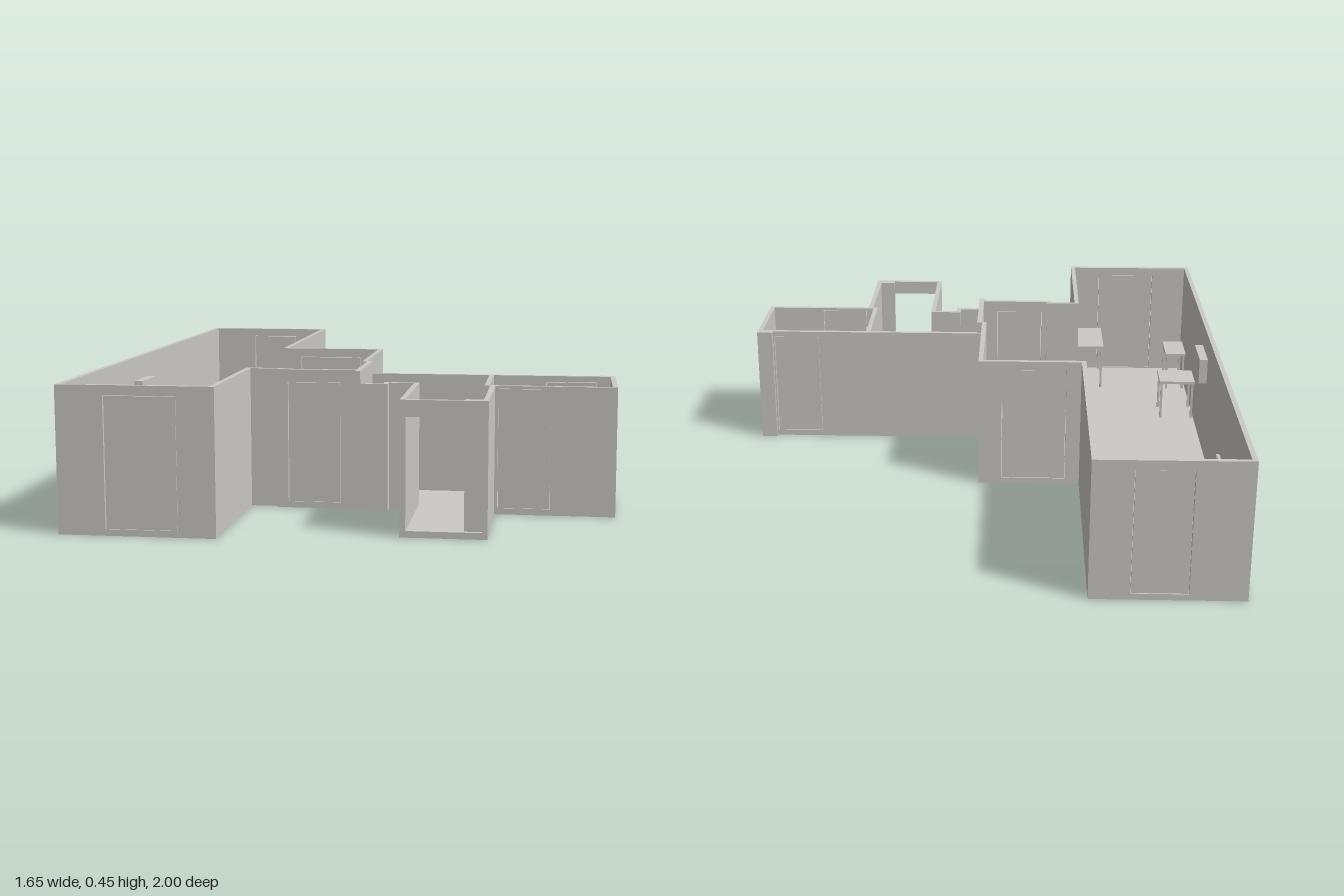
import * as THREE from 'three';

const T = 0.016; // wall thickness
const HIGH = 0.45, LOW = 0.41;

export function createModel() {
  const model = new THREE.Group();
  model.name = 'apartment';
  const plaster = new THREE.MeshStandardMaterial({ color: 0xcccac5 });
  plaster.name = 'plaster grey';

  const add = (geometry, name, parent = model) => {
    const mesh = new THREE.Mesh(geometry, plaster);
    mesh.name = name;
    parent.add(mesh);
    return mesh;
  };
  // Box given by its lower and upper corners
  const box = (name, x0, y0, z0, x1, y1, z1, parent) => add(
    new THREE.BoxGeometry(x1 - x0, y1 - y0, z1 - z0)
      .translate((x0 + x1) / 2, (y0 + y1) / 2, (z0 + z1) / 2), name, parent);

  // Wall along x with openings [x0, x1, top, hasDoor]
  const wallX = (name, x0, x1, z, h, openings = []) => {
    const shape = new THREE.Shape([[x0, 0], [x1, 0], [x1, h], [x0, h]].map(p => new THREE.Vector2(...p)));
    for (const [a, b, top, hasDoor] of openings) {
      shape.holes.push(new THREE.Path([[a, 0.02], [a, top], [b, top], [b, 0.02]].map(p => new THREE.Vector2(...p))));
      if (hasDoor) box('door', a + 0.002, 0.02, z + 0.004, b - 0.002, top - 0.002, z + T - 0.004);
    }
    add(new THREE.ExtrudeGeometry(shape, { depth: T, bevelEnabled: false }).translate(0, 0, z), name);
  };
  // Plain wall along z
  const wallZ = (name, z0, z1, x, h) => box(name, x, 0, z0, x + T, h, z1);

  // Floor following the plan
  const plan = [[-0.825, -1], [-0.35, -1], [-0.35, -0.175], [0, -0.175], [0, 0.24], [0.77, 0.24],
    [0.77, 0.225], [0.825, 0.225], [0.825, 0.545], [0.445, 0.545], [0.445, 0.91], [0.185, 0.91],
    [0.185, 0.508], [0.105, 0.508], [0.105, 0.545], [0.01, 0.545], [0.01, 0.522], [-0.255, 0.522],
    [-0.255, 0.506], [-0.345, 0.506], [-0.345, 1], [-0.825, 1]];
  add(new THREE.ExtrudeGeometry(new THREE.Shape(plan.map(([x, z]) => new THREE.Vector2(x, -z))),
    { depth: 0.015, bevelEnabled: false }).rotateX(-Math.PI / 2), 'floor');

  // Long main room
  wallZ('mainLeftWall', -1, 1, -0.825, HIGH);
  wallX('mainBackWall', -0.825, -0.35, -1, HIGH, [[-0.65, -0.475, 0.42, true]]);
  wallX('mainFrontWall', -0.825, -0.345, 1 - T, HIGH, [[-0.68, -0.46, 0.42, true]]);
  wallZ('mainRightBackWall', -1, -0.16, -0.35 - T, HIGH);
  wallZ('mainRightFrontWall', 0.49, 1, -0.345 - T, HIGH);

  // Wing beside the main room
  wallX('wingBackWall', -0.35, 0, -0.175, HIGH, [[-0.3, -0.08, 0.42, true]]);
  wallZ('wingRightWall', -0.175, 0.256, -T, HIGH);
  wallX('wingStepWall', -0.36, -0.24, 0.49, HIGH);
  wallZ('wingStepReturn', 0.49, 0.522, -0.255, HIGH);
  wallX('wingFrontWall', -0.255, 0.012, 0.506, HIGH, [[-0.22, -0.05, 0.41, true]]);
  box('passageHeader', 0, 0.37, 0.245, 0.018, HIGH, 0.545);
  wallZ('passageJamb', 0.515, 0.545, 0.002, LOW);

  // Hall and side rooms
  wallX('hallBackWall', 0, 0.825, 0.24, LOW, [[0.6, 0.765, 0.39, true]]);
  box('backCornerPier', 0.77, 0, 0.225, 0.825, LOW, 0.256);
  wallZ('sideRoomRightWall', 0.225, 0.545, 0.825 - T, LOW);
  wallX('sideRoomFrontWall', 0.43, 0.825, 0.545 - T, LOW, [[0.455, 0.62, 0.402, true]]);
  wallZ('partitionWall', 0.25, 0.545, 0.411, LOW);
  wallX('hallFrontWall', 0.005, 0.105, 0.545 - T, LOW);
  wallZ('hallStepReturn', 0.492, 0.545, 0.105 - T, LOW);
  wallX('hallStepWall', 0.09, 0.2, 0.492, LOW);
  wallZ('entryLeftWall', 0.492, 0.91, 0.185, LOW);
  wallZ('entryRightWall', 0.53, 0.91, 0.445 - T, LOW);
  wallX('entryFrontWall', 0.185, 0.445, 0.91 - T, LOW, [[0.203, 0.43, 0.36, false]]);
  box('entryPost', 0.375, 0, 0.875, 0.432, LOW, 0.896);

  // Four slim legs at the corners of a rectangle
  const legs = (x0, z0, x1, z1, h, t, parent) => {
    for (const x of [x0, x1 - t]) for (const z of [z0, z1 - t]) {
      box('leg', x, 0.015, z, x + t, h, z + t, parent);
    }
  };

  const table = (x0, z0, x1, z1, h) => {
    const group = new THREE.Group();
    group.name = 'table';
    model.add(group);
    box('tableTop', x0, h - 0.01, z0, x1, h, z1, group);
    legs(x0 + 0.004, z0 + 0.004, x1 - 0.004, z1 - 0.004, h - 0.01, 0.008, group);
  };
  table(-0.808, -0.81, -0.715, -0.665, 0.165);
  table(-0.808, 0.415, -0.675, 0.545, 0.165);
  table(-0.805, 0.735, -0.725, 0.89, 0.165);
  table(-0.475, 0.745, -0.362, 0.983, 0.19);
  table(-0.1, -0.158, -0.017, -0.035, 0.165);

  // Chair facing +x, with its back towards the wall behind it
  const chair = (x, z, turn) => {
    const group = new THREE.Group();
    group.name = 'chair';
    group.position.set(x, 0, z);
    group.rotation.y = turn;
    model.add(group);
    box('seat', -0.04, 0.1, -0.042, 0.05, 0.109, 0.042, group);
    legs(-0.04, -0.04, 0.046, 0.04, 0.1, 0.007, group);
    for (const side of [-0.04, 0.034]) box('backPost', -0.046, 0.1, side, -0.038, 0.2, side + 0.007, group);
    box('topRail', -0.05, 0.165, -0.045, -0.04, 0.2, 0.045, group);
    box('middleRail', -0.046, 0.135, -0.04, -0.04, 0.147, 0.04, group);
  };
  for (const z of [-0.72, -0.625, -0.49, -0.395, -0.235]) chair(-0.42, z, Math.PI);
  for (const z of [-0.59, -0.41]) chair(-0.755, z, 0);

  // Flat panel hung on the long wall
  box('wallPanel', -0.809, 0.28, 0.09, -0.78, 0.37, 0.25);

  return model;
}
